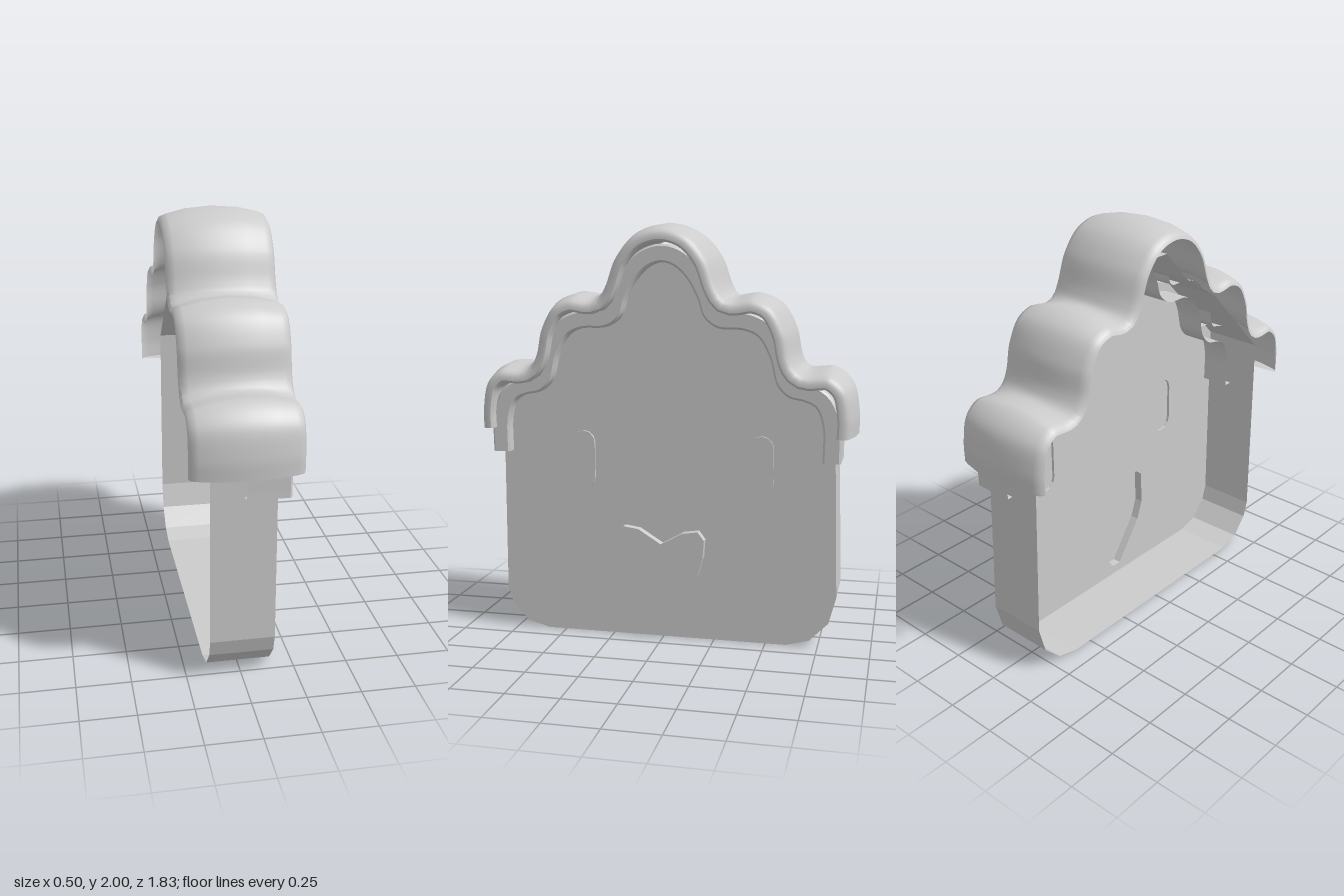
import * as THREE from 'three';
import { mergeGeometries, toCreasedNormals } from 'three/addons/utils/BufferGeometryUtils.js';

// Outlines are drawn as [u, y] with u = -z; depth runs along x after the final turn.
const mirror = half => [...half, ...half.slice(0, -1).reverse().map(([u, y]) => [-u, y])];
const vec2 = pts => pts.map(p => new THREE.Vector2(p[0], p[1]));

function fromTriangles(pos) {
  const g = new THREE.BufferGeometry();
  g.setAttribute('position', new THREE.Float32BufferAttribute(pos, 3));
  g.computeVertexNormals();
  return g;
}

// Flat cap (with optional holes) at depth x1
function cap(outline, x1, holes = []) {
  const shape = new THREE.Shape(vec2(outline));
  shape.holes = holes.map(h => new THREE.Path(vec2(h)));
  const g = new THREE.ShapeGeometry(shape).toNonIndexed();
  g.deleteAttribute('uv');
  return g.translate(0, 0, x1);
}

// Side walls around an outline from x0 to x1, open at both ends
function walls(outline, x0, x1) {
  const pts = THREE.ShapeUtils.isClockWise(vec2(outline)) ? [...outline].reverse() : outline;
  const pos = [];
  pts.forEach(([u, y], i) => {
    const [v, w] = pts[(i + 1) % pts.length];
    pos.push(u, y, x0, v, w, x0, v, w, x1, u, y, x0, v, w, x1, u, y, x1);
  });
  return fromTriangles(pos);
}

// Sweep a section of [x, inward offset] along a smooth path, closing both ends
function sweep(path, section, steps) {
  const curve = new THREE.CatmullRomCurve3(path.map(([u, y]) => new THREE.Vector3(u, y, 0)), false, 'centripetal');
  const rows = [];
  for (let i = 0; i <= steps; i++) {
    const p = curve.getPointAt(i / steps);
    const t = curve.getTangentAt(i / steps);
    if (i === 0 || i === steps) t.set(0, i ? -1 : 1, 0);
    rows.push(section.map(([x, d]) => [p.x + t.y * d, p.y - t.x * d, x]));
  }
  const pos = [];
  for (let i = 0; i < steps; i++) {
    for (let j = 0; j < section.length - 1; j++) {
      const a = rows[i][j], b = rows[i][j + 1], c = rows[i + 1][j], d = rows[i + 1][j + 1];
      pos.push(...a, ...b, ...c, ...b, ...d, ...c);
    }
  }
  const first = rows[0], last = rows[steps];
  for (let j = 1; j < section.length - 1; j++) {
    pos.push(...first[0], ...first[j + 1], ...first[j]);
    pos.push(...last[0], ...last[j], ...last[j + 1]);
  }
  return toCreasedNormals(fromTriangles(pos), 0.75);
}

// Upright rounded window outline
function windowOutline(u, y, halfWidth, halfHeight) {
  const pts = [];
  for (let i = 0; i < 14; i++) {
    const top = i < 7;
    const a = Math.PI * (top ? i / 6 : 1 + (i - 7) / 6);
    const straight = halfHeight - halfWidth;
    pts.push([u + Math.cos(a) * halfWidth, y + (top ? straight : -straight) + Math.sin(a) * halfWidth]);
  }
  return pts;
}

export function createModel() {
  const model = new THREE.Group();
  model.name = 'scallopedHouse';
  const grey = new THREE.MeshStandardMaterial({ color: 0xcccccc, side: THREE.DoubleSide });
  grey.name = 'light grey';
  const add = (name, geometry) => {
    const mesh = new THREE.Mesh(geometry.rotateY(Math.PI / 2), grey);
    mesh.name = name;
    model.add(mesh);
  };

  // Recessed details on the face
  const heart = [
    [-0.228, 0.52], [-0.19, 0.552], [-0.116, 0.541], [-0.005, 0.472], [0.1, 0.53],
    [0.175, 0.541], [0.206, 0.5], [0.2, 0.414], [0.175, 0.324], [0.01, 0.058],
    [-0.01, 0.048], [-0.053, 0.048], [-0.09, 0.1], [-0.2, 0.255], [-0.233, 0.35],
  ];
  const windows = [-0.398, 0.472].map(u => windowOutline(u, 0.865, 0.058, 0.145));

  // Hollow body, open at the back of the shell
  const face = 0.145;
  const body = [
    [-0.805, 1.16], [-0.805, 0.2], [-0.78, 0.12], [-0.7, 0.03], [-0.59, 0],
    [0.6, 0], [0.71, 0.03], [0.8, 0.12], [0.835, 0.25], [0.81, 1.16],
    [0.43, 1.54], [0.21, 1.68], [0.06, 1.84], [-0.06, 1.84], [-0.21, 1.68], [-0.43, 1.54],
  ];
  add('facePlate', cap(body, face, [heart, ...windows]));
  add('bodyWalls', walls(body, -0.15, face));
  add('heart', mergeGeometries([cap(heart, 0.188), walls(heart, face, 0.188)]));
  windows.forEach((w, i) =>
    add(i ? 'rightWindow' : 'leftWindow', mergeGeometries([cap(w, 0.158), walls(w, face, 0.158)])));

  // Scalloped roof with a crowned top
  const roofPath = mirror([
    [-0.915, 1.02], [-0.915, 1.12], [-0.885, 1.255], [-0.8, 1.33], [-0.67, 1.335],
    [-0.64, 1.38], [-0.61, 1.51], [-0.54, 1.63], [-0.44, 1.675], [-0.325, 1.667],
    [-0.295, 1.71], [-0.24, 1.85], [-0.14, 1.96], [0, 2],
  ]);
  add('roof', sweep(roofPath, [
    [-0.25, 0.062], [-0.24, 0.042], [-0.21, 0.03], [-0.12, 0.009], [0, 0], [0.12, 0.009],
    [0.21, 0.03], [0.24, 0.042], [0.25, 0.062], [0.25, 0.08], [0.24, 0.09], [0.1, 0.09],
  ], 180));

  // Narrow trim beneath the roof
  const trimPath = mirror([
    [-0.76, 0.9], [-0.757, 1.07], [-0.725, 1.155], [-0.67, 1.183], [-0.6, 1.2],
    [-0.545, 1.255], [-0.51, 1.38], [-0.455, 1.475], [-0.39, 1.505], [-0.265, 1.515],
    [-0.2, 1.565], [-0.17, 1.65], [-0.12, 1.74], [-0.06, 1.797], [0, 1.815],
  ]);
  add('trim', sweep(trimPath, [
    [0, -0.085], [0.19, -0.085], [0.2, -0.075], [0.2, -0.01], [0.19, 0], [0, 0],
  ], 160));

  return model;
}
